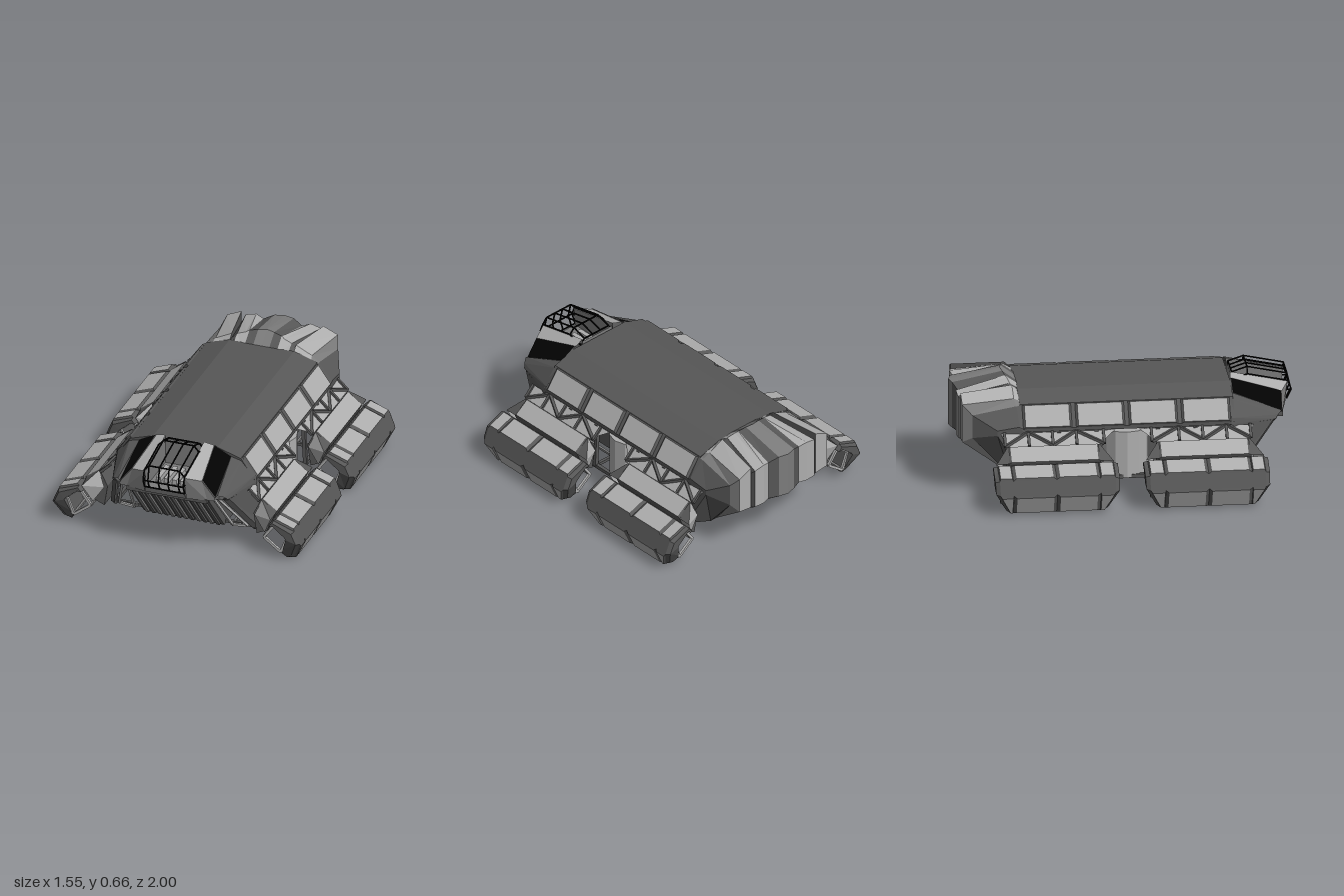
import * as THREE from 'three';

const mat = (name, color) => {
  const m = new THREE.MeshStandardMaterial({ color, flatShading: true, side: THREE.DoubleSide });
  m.name = name;
  return m;
};
const frame = mat('dark frame grey', 0x575757);
const panelGrey = mat('panel grey', 0xaeaeae);
const midGrey = mat('mid grey', 0x7c7c7c);
const black = mat('black', 0x030303);

const add = (parent, name, geo, material) => {
  const m = new THREE.Mesh(geo, material);
  m.name = name;
  parent.add(m);
  return m;
};

// Skin stretched over rows of points
function loft(parent, name, rows, material, closed = false) {
  const pos = [];
  for (let r = 0; r < rows.length - 1; r++) {
    const n = rows[r].length;
    for (let i = 0; i < (closed ? n : n - 1); i++) {
      const j = (i + 1) % n;
      const a = rows[r][i], b = rows[r][j], c = rows[r + 1][j], d = rows[r + 1][i];
      pos.push(...a, ...b, ...c, ...a, ...c, ...d);
    }
  }
  const g = new THREE.BufferGeometry();
  g.setAttribute('position', new THREE.Float32BufferAttribute(pos, 3));
  g.computeVertexNormals();
  return add(parent, name, g, material);
}

// Bevelled armour plate on a quad: dark sloping rim, coloured face, raised away from ref
function plate(parent, name, quad, ref, material = panelGrey, h = 0.012, inset = 0.12) {
  const v = quad.map(p => new THREE.Vector3(...p));
  const c = v.reduce((s, p) => s.add(p), new THREE.Vector3()).multiplyScalar(0.25);
  const n = v[2].clone().sub(v[0]).cross(v[3].clone().sub(v[1])).normalize();
  if (n.dot(c.clone().sub(new THREE.Vector3(...ref))) < 0) n.negate();
  const top = v.map(p => p.clone().lerp(c, inset).addScaledVector(n, h).toArray());
  loft(parent, name + 'Rim', [quad, top], frame, true);
  loft(parent, name, [[top[0], top[1]], [top[3], top[2]]], material);
}

// Square bar between two points
function bar(parent, name, a, b, t, material = frame) {
  const p = new THREE.Vector3(...a), q = new THREE.Vector3(...b);
  const m = add(parent, name, new THREE.BoxGeometry(t, t, p.distanceTo(q)), material);
  m.position.copy(p).lerp(q, 0.5);
  m.lookAt(q);
}

// Solid prism along z from an x,y outline
function prism(parent, name, pts, z0, z1, material) {
  const s = new THREE.Shape(pts.map(p => new THREE.Vector2(...p)));
  const g = new THREE.ExtrudeGeometry(s, { depth: z1 - z0, bevelEnabled: false });
  g.translate(0, 0, z0);
  return add(parent, name, g, material);
}

// One track pod with its mount, on the +x +z corner
function buildPod() {
  const pod = new THREE.Group();
  pod.name = 'trackPod';
  const outer = [[0.578, 0.235], [0.605, 0.263], [0.735, 0.215], [0.768, 0.135], [0.71, 0.01], [0.675, 0], [0.648, 0.045]];
  const inner = [[0.6, 0.232], [0.61, 0.236], [0.682, 0.175], [0.69, 0.163], [0.662, 0.08], [0.655, 0.06], [0.65, 0.052]];
  const zs = [0.075, 0.1, 0.19, 0.445, 0.70, 0.78, 0.805];
  const ring = (pts, z, k) => pts.map(([x, y], i) => {
    // Ends lean inward toward the ground and are chamfered
    const lean = Math.max(0, 0.14 - y) * 0.5 * (k < 2 ? 1 : k > 4 ? -1 : 0);
    const c = k === 0 || k === 6 ? 0.22 : 0;
    return [x + (inner[i][0] - x) * c, y + (inner[i][1] - y) * c, z + lean];
  });
  const rows = zs.map((z, k) => ring(outer, z, k));
  const lining = zs.map((z, k) => ring(inner, z, k));
  loft(pod, 'podShell', [lining[0], ...rows, lining[6]], frame);
  loft(pod, 'podLining', lining, frame);

  // Armour plates on the top and outer faces
  for (let k = 1; k < 5; k++) {
    for (const i of [1, 3]) {
      plate(pod, 'podPlate', [rows[k][i], rows[k][i + 1], rows[k + 1][i + 1], rows[k + 1][i]],
        [0.6, 0.1, 0.44], panelGrey, 0.012, 0.15);
    }
  }
  // Open inner tube: rails, rings and inner wall
  const sq = [[0.54, 0.135], [0.61, 0.232], [0.69, 0.165], [0.645, 0.055]];
  sq.forEach((p, i) => {
    const q = sq[(i + 1) % 4];
    bar(pod, 'tubeRail', [...p, 0.12], [...p, 0.76], 0.014, midGrey);
    for (const z of [0.12, 0.31, 0.57, 0.76]) bar(pod, 'tubeRing', [...p, z], [...q, z], 0.016, panelGrey);
  });
  for (const z of [0.16, 0.35, 0.55]) {
    loft(pod, 'tubeWall', [[[...sq[0], z], [...sq[1], z]], [[...sq[0], z + 0.17], [...sq[1], z + 0.17]]], midGrey);
  }
  // Mount joining the pod to the hull
  prism(pod, 'podMount', [[0.455, 0.25], [0.5, 0.342], [0.592, 0.272], [0.54, 0.15], [0.475, 0.12]], 0.17, 0.71, frame);
  plate(pod, 'mountPlate', [[0.5, 0.342, 0.17], [0.592, 0.272, 0.17], [0.592, 0.272, 0.71], [0.5, 0.342, 0.71]],
    [0.4, 0.1, 0.44], panelGrey, 0.008, 0.06);
  // Slanted fairings at both mount ends
  for (const s of [-1, 1]) {
    const z = d => 0.44 + s * d;
    loft(pod, 'mountFairing', [[[0.468, 0.25, z(0.29)], [0.508, 0.345, z(0.27)]],
      [[0.535, 0.15, z(0.3)], [0.588, 0.265, z(0.345)]]], panelGrey);
    loft(pod, 'mountFairingTop', [[[0.508, 0.345, z(0.27)], [0.508, 0.34, z(0.26)]],
      [[0.588, 0.265, z(0.345)], [0.592, 0.272, z(0.26)]]], frame);
  }
  // Sloped shelf and truss between mount and hull
  loft(pod, 'shelf', [[[0.43, 0.402, 0.07], [0.43, 0.402, 0.74]], [[0.495, 0.337, 0.17], [0.495, 0.337, 0.71]]], panelGrey);
  [0.14, 0.3, 0.44, 0.58, 0.72].forEach((z, i, a) => {
    const up = [0.43, 0.406, z], down = [0.495, 0.343, z];
    bar(pod, 'trussPost', up, down, 0.016);
    if (i < 4) {
      const odd = i % 2;
      bar(pod, 'trussDiagonal', odd ? up : down, odd ? [0.495, 0.343, a[i + 1]] : [0.43, 0.406, a[i + 1]], 0.016);
    }
  });
  return pod;
}

// Everything that repeats on each side of the hull
function buildSide() {
  const side = new THREE.Group();
  side.name = 'hullSide';
  const front = buildPod(), rear = buildPod();
  rear.scale.z = -1;
  side.add(front, rear);

  // Upper flank plates with ribs between
  for (let i = 0; i < 4; i++) {
    const a = -0.62 + i * 0.31 + 0.012, b = a + 0.286;
    plate(side, 'flankPlate', [[0.347, 0.545, a], [0.432, 0.425, a], [0.432, 0.425, b], [0.347, 0.545, b]],
      [0, 0.3, 0], panelGrey, 0.012, 0.09);
  }
  // Lower rails and struts of the open skirt
  bar(side, 'skirtRail', [0.435, 0.115, -0.64], [0.435, 0.115, 0.64], 0.022);
  bar(side, 'innerRail', [0.3, 0.115, -0.64], [0.3, 0.115, 0.64], 0.014, midGrey);
  for (const z of [-0.62, -0.4, -0.18, 0.18, 0.4, 0.62]) {
    bar(side, 'floorStrut', [0.24, 0.115, z], [0.44, 0.115, z], 0.018);
    bar(side, 'skirtPost', [0.425, 0.4, z], [0.44, 0.115, z], 0.022);
  }
  // Rounded bay between the pods
  const drum = add(side, 'centreDrum', new THREE.CylinderGeometry(0.135, 0.135, 0.28, 12), panelGrey);
  drum.position.set(0.317, 0.25, 0);
  // Front legs
  bar(side, 'frontBrace', [0.268, 0.4, 0.88], [0.305, 0.12, 0.66], 0.014, panelGrey);
  bar(side, 'frontBrace', [0.3, 0.4, 0.88], [0.4, 0.13, 0.66], 0.014, panelGrey);
  bar(side, 'frontBraceFoot', [0.305, 0.12, 0.66], [0.4, 0.13, 0.66], 0.014, panelGrey);
  loft(side, 'frontGusset', [[[0.33, 0.41, 0.89], [0.43, 0.12, 0.66]], [[0.36, 0.41, 0.87], [0.465, 0.11, 0.63]],
    [[0.44, 0.41, 0.62], [0.465, 0.13, 0.6]]], frame);

  // Nose, in strips from the cockpit outward
  const back = [[0.12, 0.62, 0.64], [0.18, 0.605, 0.63], [0.285, 0.55, 0.63], [0.35, 0.54, 0.61], [0.43, 0.445, 0.61], [0.44, 0.405, 0.61]];
  const tip = [[0.12, 0.55, 0.975], [0.217, 0.525, 0.93], [0.295, 0.425, 0.925], [0.31, 0.44, 0.92], [0.345, 0.425, 0.895], [0.36, 0.405, 0.88]];
  const skins = [panelGrey, frame, frame, frame, frame];
  skins.forEach((m, i) => loft(side, 'nosePanel', [[back[i], back[i + 1]], [tip[i], tip[i + 1]]], m));
  plate(side, 'sideWindow', [back[1], back[2], tip[2], tip[1]], [0, 0.3, 0.6], black, 0.005, 0.04);
  loft(side, 'noseFront', [tip.slice(0, 3), [[0.13, 0.405, 0.955], [0.25, 0.405, 0.93], [0.3, 0.405, 0.925]]], midGrey);
  loft(side, 'noseUnderside', [[[0.2, 0.403, 0.61], [0.44, 0.403, 0.61]], [[0.2, 0.403, 0.93], [0.36, 0.403, 0.88]]], frame);
  loft(side, 'cockpitWall', [[[0.12, 0.62, 0.64], [0.12, 0.44, 0.64]], [[0.12, 0.55, 0.975], [0.12, 0.41, 0.96]]], midGrey);

  // Faceted stern: start, ridge and back edge of each rib
  const ribs = [
    [0, 0.595, 0, 0.66, -0.7, 0, 0.6, -1], [0.05, 0.595, 0.05, 0.655, -0.69, 0.06, 0.6, -0.985],
    [0.1, 0.595, 0.1, 0.645, -0.68, 0.12, 0.575, -0.96], [0.13, 0.59, 0.12, 0.635, -0.67, 0.17, 0.59, -0.975],
    [0.17, 0.59, 0.17, 0.62, -0.66, 0.235, 0.575, -0.97], [0.2, 0.585, 0.2, 0.59, -0.65, 0.25, 0.53, -0.92],
    [0.2, 0.585, 0.2, 0.62, -0.65, 0.255, 0.6, -0.957], [0.31, 0.555, 0.3, 0.57, -0.65, 0.345, 0.56, -0.957],
    [0.35, 0.54, 0.35, 0.54, -0.64, 0.368, 0.5, -0.9], [0.43, 0.43, 0.435, 0.44, -0.63, 0.43, 0.42, -0.76]];
  const cols = ribs.map(([x0, y0, x1, y1, z1, x2, y2, z2], i) => [[x0, y0, -0.61], [x1, y1, z1], [x2, y2, z2],
    [x2, i < 7 ? 0.32 : 0.3 + (i - 6) * 0.03, z2], [x2 * 0.72, 0.1, -0.67]]);
  const tones = [midGrey, frame, panelGrey, panelGrey, frame, frame, panelGrey, midGrey, frame];
  tones.forEach((m, i) => loft(side, 'sternFacet', [cols[i], cols[i + 1]], m));
  // Gusset closing the stern onto the skirt
  loft(side, 'sternGusset', [cols[9], [[0.43, 0.43, -0.6], [0.432, 0.42, -0.6], [0.435, 0.4, -0.6], [0.44, 0.3, -0.6], [0.44, 0.11, -0.6]]], frame);
  return side;
}

export function createModel() {
  const model = new THREE.Group();
  model.name = 'transport';

  // Upper hull with a slightly crowned deck
  const half = [[0.2, 0.594], [0.345, 0.548], [0.432, 0.425], [0.432, 0.405], [0.25, 0.385]];
  prism(model, 'upperHull', [...half, ...half.map(([x, y]) => [-x, y]).reverse()], -0.62, 0.63, frame);
  // Lower hull wedge
  const keel = prism(model, 'lowerHull', [[-0.915, 0.4], [-0.65, 0.1], [0.66, 0.1], [0.75, 0.4]], -0.25, 0.25, frame);
  keel.rotation.y = Math.PI / 2;
  // Belly plates
  for (const x of [-0.115, 0.115]) {
    for (let i = 0; i < 4; i++) {
      const z = -0.465 + i * 0.31, w = 0.08, d = 0.1;
      plate(model, 'bellyPlate', [[x - w, 0.1, z - d], [x + w, 0.1, z - d], [x + w, 0.1, z + d], [x - w, 0.1, z + d]],
        [0, 0.3, z], panelGrey, 0.006, 0.06);
    }
  }
  // Sloped front grille
  for (let i = 0; i < 12; i++) {
    const x = -0.22 + i * 0.04;
    bar(model, 'grilleRib', [x, 0.365, 0.888], [x, 0.112, 0.664], 0.02, i % 2 ? frame : midGrey);
  }
  bar(model, 'grilleTop', [-0.25, 0.395, 0.92], [0.25, 0.395, 0.92], 0.028, frame);

  const left = buildSide(), right = buildSide();
  right.scale.x = -1;
  model.add(left, right);

  // Cockpit tub and seats
  loft(model, 'cockpitTub', [[[-0.12, 0.6, 0.645], [0.12, 0.6, 0.645]], [[-0.12, 0.44, 0.645], [0.12, 0.44, 0.645]],
    [[-0.12, 0.44, 0.965], [0.12, 0.44, 0.965]], [[-0.13, 0.405, 0.955], [0.13, 0.405, 0.955]]], midGrey);
  for (const x of [-0.075, -0.025, 0.025, 0.075]) {
    const seat = add(model, 'seat', new THREE.BoxGeometry(0.028, 0.03, 0.16), panelGrey);
    seat.position.set(x, 0.455, 0.8);
  }
  // Canopy cage
  const line = [[0.61, 0.65], [0.64, 0.74], [0.59, 0.975], [0.5, 0.996], [0.445, 0.97]];
  const xs = [-0.125, -0.095, -0.03, 0.03, 0.095, 0.125];
  const pt = (x, k) => [x, line[k][0] - (Math.abs(x) > 0.1 && k < 3 ? 0.035 : 0), line[k][1]];
  line.forEach((_, k) => xs.forEach((x, i) => {
    if (k < 4) bar(model, 'canopyBar', pt(x, k), pt(x, k + 1), 0.007, black);
    if (i < 5) bar(model, 'canopyCrossBar', pt(x, k), pt(xs[i + 1], k), 0.007, black);
  }));
  for (const s of [-0.125, 0.125]) bar(model, 'canopySill', [s, 0.5, 0.65], [s, 0.5, 0.99], 0.007, black);
  return model;
}
